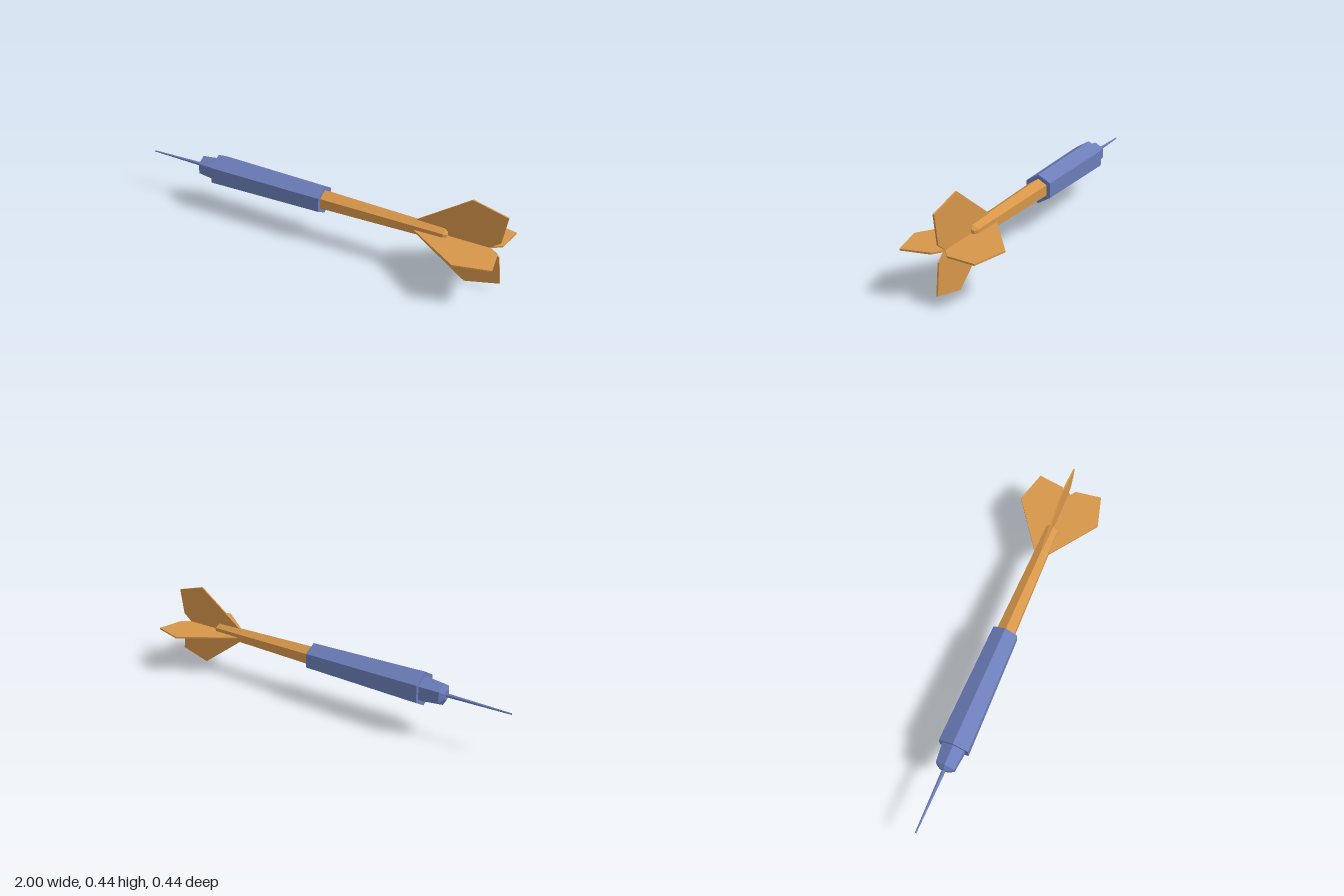
import * as THREE from 'three';

const AXIS_Y = 0.22, AXIS_Z = 0.0045;

export function createModel() {
  const model = new THREE.Group();
  model.name = 'dart';
  const blue = new THREE.MeshStandardMaterial({ color: 0x6b7db9, flatShading: true });
  blue.name = 'blue';
  const orange = new THREE.MeshStandardMaterial({ color: 0xd6964a, flatShading: true });
  orange.name = 'orange';

  const add = (name, geometry, material, y = AXIS_Y, z = AXIS_Z) => {
    const mesh = new THREE.Mesh(geometry, material);
    mesh.name = name;
    mesh.position.set(0, y, z);
    model.add(mesh);
  };

  // Six-sided turned part along x, from [x, radius] pairs, with a corner on top
  const turned = (profile) => {
    const points = profile.map(([x, r]) => new THREE.Vector2(r, x));
    return new THREE.LatheGeometry(points, 6, Math.PI / 2).rotateZ(-Math.PI / 2);
  };

  // Needle, collar, grip and shaft
  add('needle', turned([[-1, 0], [-1, 0.004], [-0.67, 0.011], [-0.67, 0]]), blue);
  add('collar', turned([[-0.682, 0], [-0.682, 0.026], [-0.665, 0.055], [-0.56, 0.067], [-0.56, 0]]), blue);
  add('grip', turned([[-0.565, 0], [-0.565, 0.0875], [0.075, 0.0745], [0.075, 0]]), blue);
  add('shaft', turned([[0.07, 0], [0.07, 0.053], [0.715, 0.038], [0.73, 0.024], [0.733, 0]]), orange);

  // Crossed flights: one mirrored outline, used upright and flat
  const half = [[0.83, 0.2205], [1, 0.176], [0.98, 0.038]];
  const outline = [
    [0.515, 0], ...half.map(([x, y]) => [x, -y]),
    [0.93, 0], ...half.slice().reverse(),
  ].map(([x, y]) => new THREE.Vector2(x, y));
  const flight = new THREE.ExtrudeGeometry(new THREE.Shape(outline), { depth: 0.008, bevelEnabled: false });
  flight.translate(0, 0, -0.004);
  add('verticalFlight', flight, orange, 0.2205, AXIS_Z);
  add('horizontalFlight', flight.clone().rotateX(Math.PI / 2), orange, 0.217, 0.001);

  return model;
}
